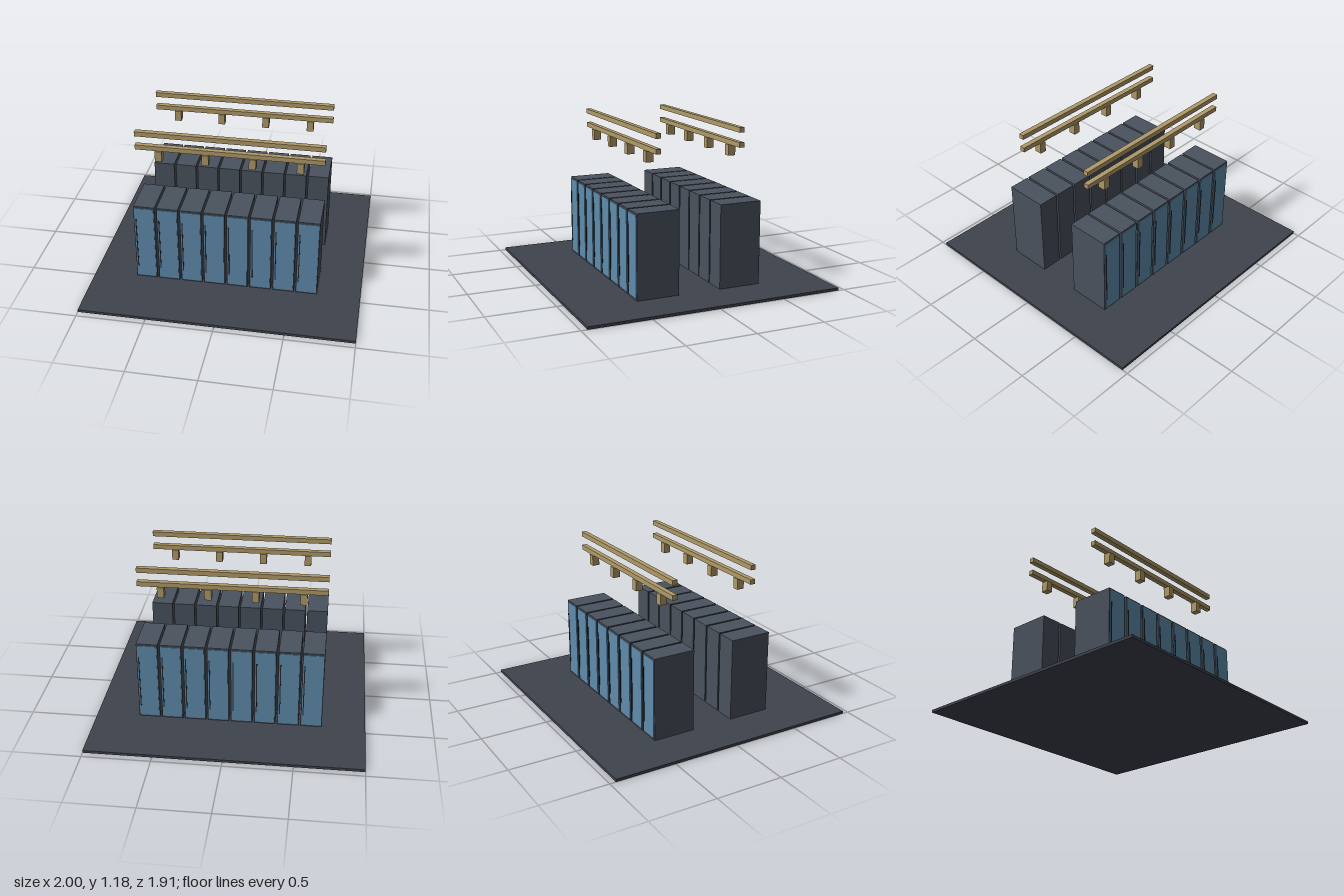
import * as THREE from 'three';

const mat = (color) => new THREE.MeshStandardMaterial({ color });

export function createModel() {
  const model = new THREE.Group();
  const floorMat = mat(0x3f434d);
  const caseMat = mat(0x4a525e);
  const doorMat = mat(0x5f8cad);
  const handleMat = mat(0x23272e);
  const railMat = mat(0xb09a68);

  function box(parent, name, material, size, pos) {
    const mesh = new THREE.Mesh(new THREE.BoxGeometry(...size), material);
    mesh.name = name;
    mesh.position.set(...pos);
    parent.add(mesh);
  }

  // Floor slab
  box(model, 'floor', floorMat, [2, 0.02, 1.91], [0, 0.01, 0]);

  // One cabinet with its door and thin upright handle, facing +z
  function cabinet(x) {
    const g = new THREE.Group();
    g.name = 'cabinet';
    box(g, 'cabinetCase', caseMat, [0.157, 0.62, 0.318], [0, 0.33, 0]);
    box(g, 'cabinetDoor', doorMat, [0.144, 0.595, 0.008], [0, 0.33, 0.16]);
    box(g, 'doorHandle', handleMat, [0.007, 0.42, 0.008], [-0.062, 0.325, 0.164]);
    g.position.x = x;
    return g;
  }

  // A row of eight cabinets with overhead rails and hanging blocks
  function row(name) {
    const g = new THREE.Group();
    g.name = name;
    for (let i = 0; i < 8; i++) g.add(cabinet((i - 3.5) * 0.172));
    box(g, 'lowerRail', railMat, [1.362, 0.036, 0.038], [0, 1.053, 0]);
    box(g, 'upperRail', railMat, [1.362, 0.036, 0.038], [0, 1.159, 0]);
    for (let i = 0; i < 4; i++) {
      box(g, 'railBlock', railMat, [0.05, 0.08, 0.055], [(i - 1.5) * 0.34, 0.995, 0]);
    }
    return g;
  }

  // Two rows, back to back across the aisle
  const front = row('frontRow');
  front.position.z = 0.319;
  const back = row('backRow');
  back.position.z = -0.319;
  back.rotation.y = Math.PI;
  model.add(front, back);

  return model;
}
